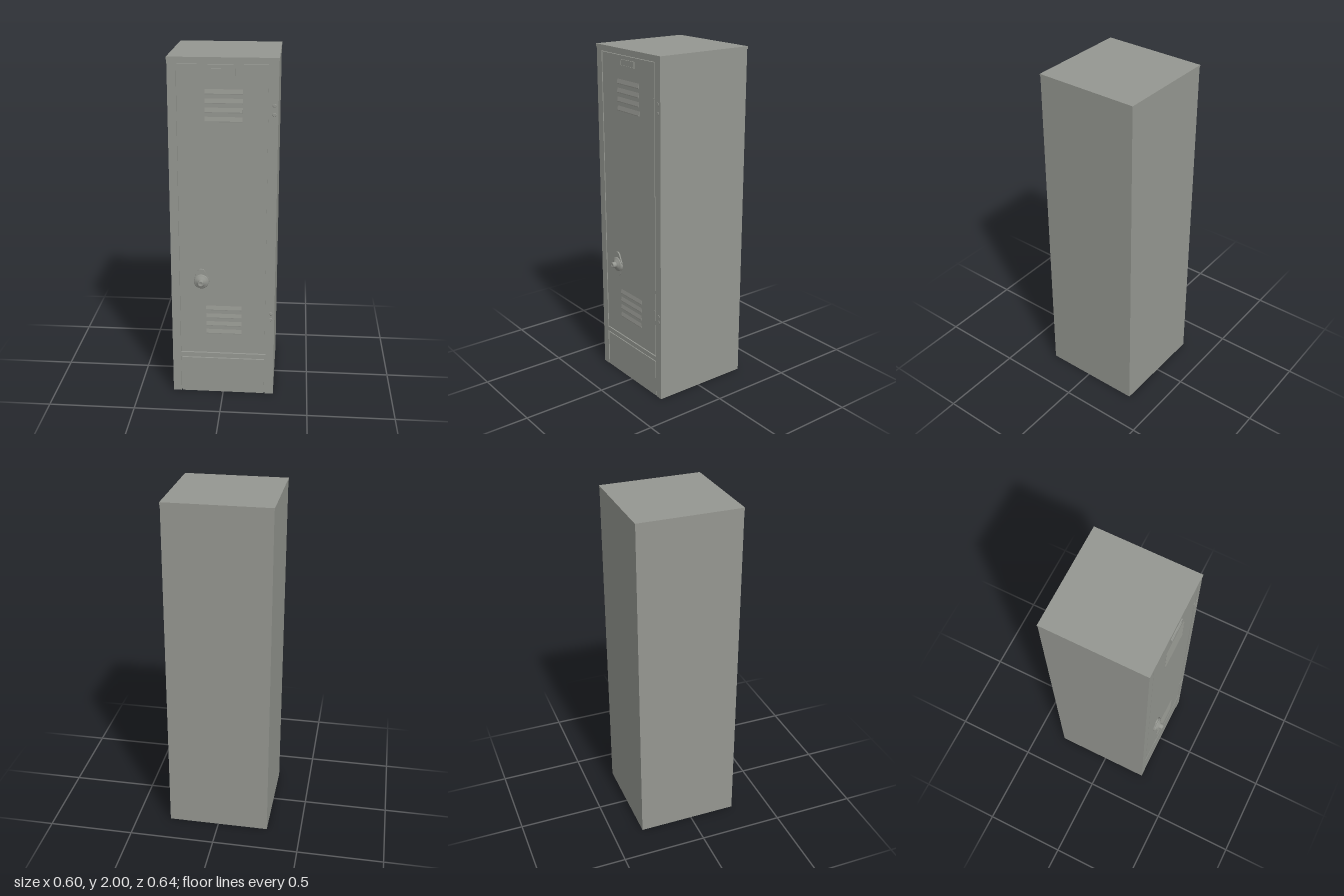
import * as THREE from 'three';

export function createModel() {
  const model = new THREE.Group();
  const paint = new THREE.MeshStandardMaterial({ color: 0x959791 });
  paint.name = 'grey paint';

  const add = (name, geometry, parent = model) => {
    const mesh = new THREE.Mesh(geometry, paint);
    mesh.name = name;
    parent.add(mesh);
    return mesh;
  };
  // box given by its limits on each axis
  const slab = (name, x0, x1, y0, y1, z0, z1, parent) =>
    add(name, new THREE.BoxGeometry(x1 - x0, y1 - y0, z1 - z0), parent)
      .position.set((x0 + x1) / 2, (y0 + y1) / 2, (z0 + z1) / 2);
  const loop = (...pts) => pts.map(([x, y]) => new THREE.Vector2(x, y));

  const FRONT = 0.278, BACK = -0.32, HALF = 0.298, TOP = 1.985, WALL = 0.004;

  // cabinet shell, open at the bottom
  slab('leftWall', HALF - WALL, HALF, 0, TOP, BACK, FRONT - 0.012);
  slab('rightWall', -HALF, -HALF + WALL, 0, TOP, BACK, FRONT - 0.012);
  slab('backWall', -HALF + WALL, HALF - WALL, 0, TOP, BACK, BACK + WALL);
  slab('topCap', -0.3, 0.3, TOP, 2, -0.322, 0.28);

  // front frame with a door opening and an open base
  const frame = new THREE.Shape(loop(
    [-HALF, 0], [-0.25, 0], [-0.25, 0.23], [0.25, 0.23], [0.25, 0], [HALF, 0],
    [HALF, TOP], [-HALF, TOP]));
  frame.holes.push(new THREE.Path(loop([-0.25, 0.258], [-0.25, 1.968], [0.25, 1.968], [0.25, 0.258])));
  const frameGeo = new THREE.ExtrudeGeometry(frame, { depth: 0.012, bevelEnabled: false });
  frameGeo.translate(0, 0, FRONT - 0.012);
  add('frontFrame', frameGeo);

  // jambs behind the frame
  for (const s of [-1, 1]) {
    const a = s * 0.23, b = s * 0.262;
    slab('jamb', Math.min(a, b), Math.max(a, b), 0, 1.98, FRONT - 0.04, FRONT - 0.0125);
  }
  slab('topStop', -0.23, 0.23, 1.945, 1.98, FRONT - 0.04, FRONT - 0.0125);
  slab('bottomStop', -0.23, 0.23, 0.2, 0.28, FRONT - 0.04, FRONT - 0.0125);

  // ribbed ledge inside, above the base
  for (let i = 0; i < 5; i++)
    slab('ledgeRib', 0.2 + i * 0.019, 0.213 + i * 0.019, 0.255, 0.268, BACK + 0.01, FRONT - 0.041);
  slab('ledge', 0.195, 0.293, 0.268, 0.272, BACK + 0.01, FRONT - 0.041);

  // door and kick panel
  const door = new THREE.Group();
  door.name = 'door';
  model.add(door);
  slab('doorPanel', -0.244, 0.244, 0.264, 1.962, FRONT - 0.012, FRONT - 0.001, door);
  slab('kickPanel', -0.243, 0.243, 0, 0.223, FRONT - 0.012, FRONT - 0.002);

  // louvres, each sloping out to a lip at its lower edge
  const lip = new THREE.Shape(loop([-0.002, 0], [0.004, 0], [0.0045, 0.004], [0, 0.028], [-0.002, 0.028]));
  const louvreGeo = new THREE.ExtrudeGeometry(lip, { depth: 0.205, bevelEnabled: false });
  louvreGeo.rotateY(-Math.PI / 2);
  louvreGeo.translate(0.1075, 0, FRONT - 0.001);
  for (const base of [0.388, 1.653])
    for (let i = 0; i < 4; i++) add('louvre', louvreGeo, door).position.y = base + i * 0.05;

  // name plate holder: a rim around a thin plate
  const rim = new THREE.Shape(loop([-0.06, 1.904], [0.067, 1.904], [0.067, 1.942], [-0.06, 1.942]));
  rim.holes.push(new THREE.Path(loop([-0.054, 1.91], [-0.054, 1.936], [0.061, 1.936], [0.061, 1.91])));
  const rimGeo = new THREE.ExtrudeGeometry(rim, { depth: 0.006, bevelEnabled: false });
  rimGeo.translate(0, 0, FRONT - 0.001);
  add('namePlateRim', rimGeo, door);
  slab('namePlate', -0.054, 0.061, 1.91, 1.936, FRONT - 0.001, FRONT + 0.002, door);

  // hinges: door leaf, frame leaf and rivets
  for (const [y0, y1] of [[1.672, 1.772], [0.465, 0.55]]) {
    const hinge = new THREE.Group();
    hinge.name = 'hinge';
    model.add(hinge);
    slab('doorLeaf', 0.234, 0.25, y0, y1, FRONT - 0.002, FRONT + 0.001, hinge);
    for (const y of [y0 + 0.025, y1 - 0.025]) {
      const rivet = add('rivet', new THREE.CylinderGeometry(0.009, 0.011, 0.002, 16), hinge);
      rivet.rotation.x = Math.PI / 2;
      rivet.position.set(0.277, y, FRONT + 0.0008);
    }
  }

  // latch: pointed oval plate and turned knob
  const latch = new THREE.Group();
  latch.name = 'latch';
  latch.position.set(-0.124, 0.72, FRONT - 0.001);
  model.add(latch);
  const plate = new THREE.Shape();
  plate.moveTo(0, -0.076);
  plate.bezierCurveTo(0.025, -0.076, 0.025, -0.045, 0.04, -0.025);
  plate.bezierCurveTo(0.047, -0.012, 0.047, 0.012, 0.04, 0.025);
  plate.bezierCurveTo(0.025, 0.045, 0.025, 0.076, 0, 0.076);
  plate.bezierCurveTo(-0.025, 0.076, -0.025, 0.045, -0.04, 0.025);
  plate.bezierCurveTo(-0.047, 0.012, -0.047, -0.012, -0.04, -0.025);
  plate.bezierCurveTo(-0.025, -0.045, -0.025, -0.076, 0, -0.076);
  add('latchPlate', new THREE.ExtrudeGeometry(plate, { depth: 0.008, bevelEnabled: false, curveSegments: 10 }), latch);
  const profile = loop([0.043, 0], [0.043, 0.01], [0.038, 0.014], [0.031, 0.015], [0.029, 0.019],
    [0.018, 0.023], [0.017, 0.025], [0.017, 0.044], [0.015, 0.046], [0.009, 0.046], [0.008, 0.043], [0, 0.043]);
  const knob = add('knob', new THREE.LatheGeometry(profile, 32), latch);
  knob.rotation.x = Math.PI / 2;

  return model;
}
